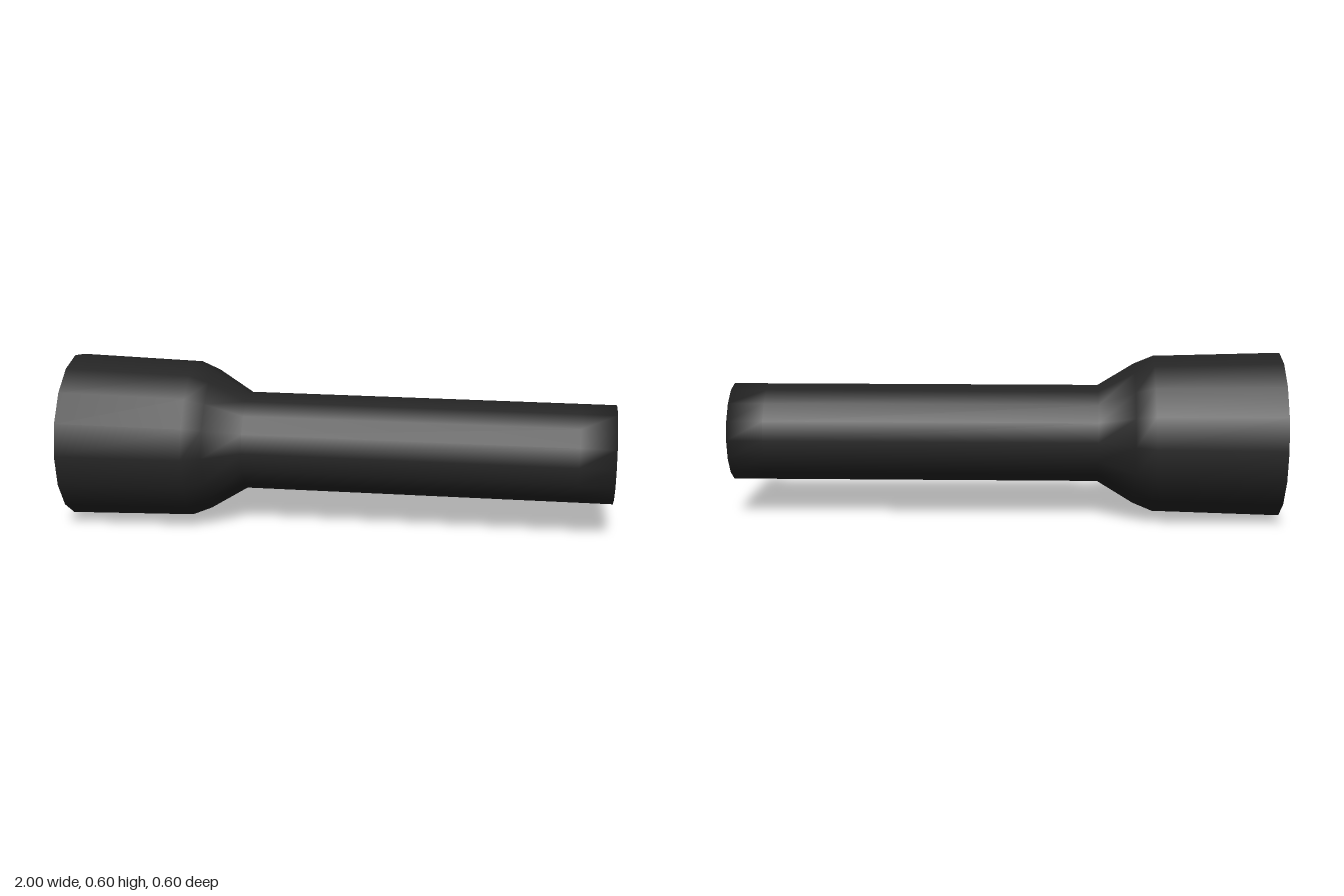
import * as THREE from 'three';

const SIDES = 16;
const AXIS_Y = 0.302; // height of the torch's long axis

// Turns [radius, position along x] points around the x axis
function turned(name, points, material) {
  const geometry = new THREE.LatheGeometry(points.map(([r, x]) => new THREE.Vector2(r, x)), SIDES);
  geometry.rotateZ(-Math.PI / 2);
  const mesh = new THREE.Mesh(geometry, material);
  mesh.name = name;
  return mesh;
}

export function createModel() {
  const casing = new THREE.MeshStandardMaterial({ color: 0x242424 });
  casing.name = 'black casing';
  const glass = new THREE.MeshStandardMaterial({ color: 0x54544b });
  glass.name = 'grey lens';

  const torch = new THREE.Group();
  torch.name = 'torch';

  // Flared head, handle and closed tail in one smooth skin
  torch.add(turned('body', [
    [0.302, -1], [0.289, -0.54], [0.26, -0.47], [0.18, -0.34],
    [0.18, 0.87], [0.18, 1], [0, 1],
  ], casing));

  // Bevelled rim sloping in to the lens
  torch.add(turned('rim', [[0.252, -0.975], [0.302, -1]], casing));

  // Recessed lens facing -x
  const lens = new THREE.Mesh(new THREE.CircleGeometry(0.252, SIDES).rotateY(-Math.PI / 2), glass);
  lens.name = 'lens';
  lens.position.x = -0.975;
  torch.add(lens);

  torch.children.forEach((part) => { part.position.y = AXIS_Y; });
  return torch;
}
